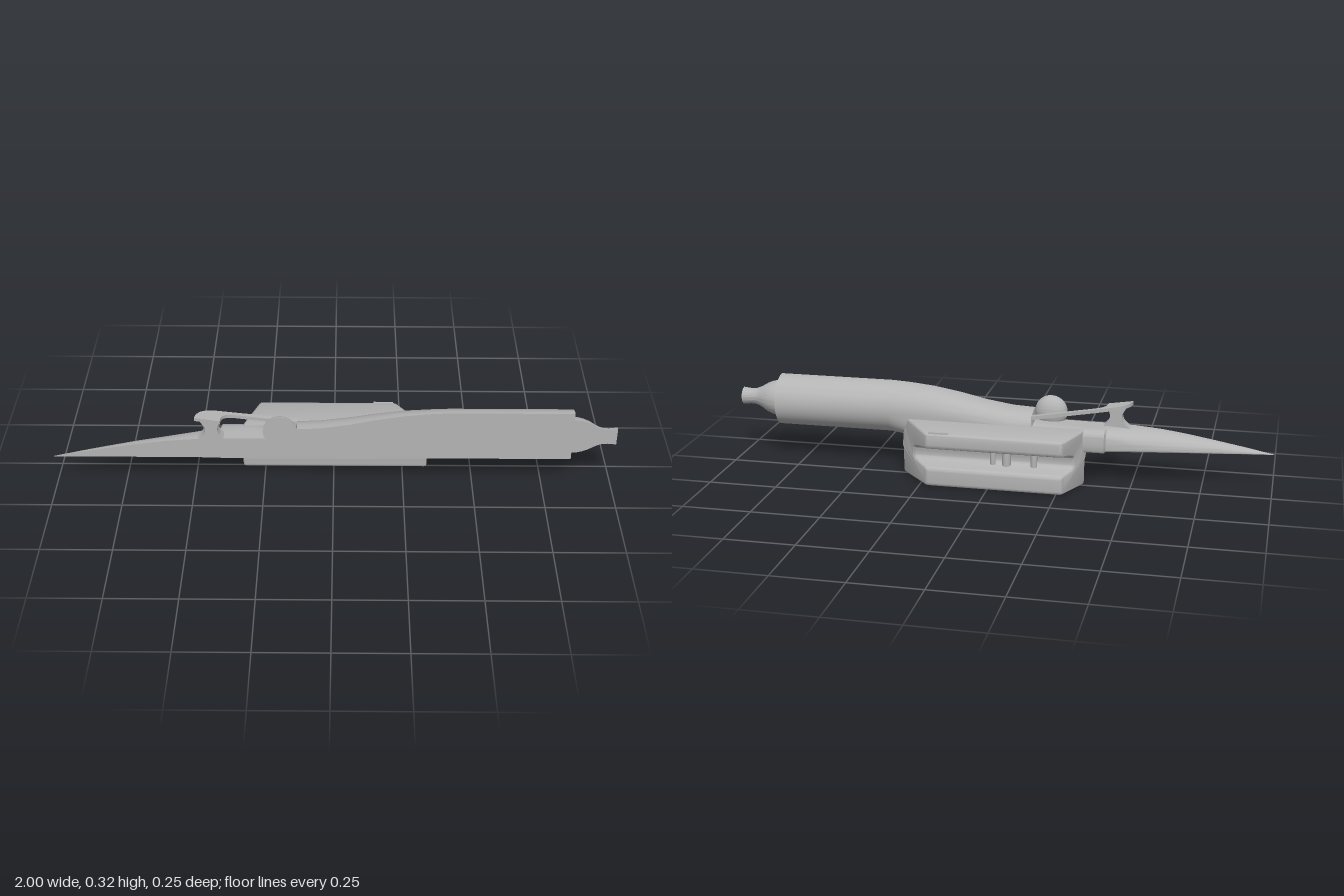
import * as THREE from 'three';
import { toCreasedNormals } from 'three/addons/utils/BufferGeometryUtils.js';

const CUT = 0.125; // plane of the flat sectioned side
const hull = new THREE.MeshStandardMaterial({ color: 0xb4b4b4 });
hull.name = 'hull grey';

// Half-section loft along x. Station: [x, top, mid, bottom, width, topExponent, bottomExponent]
function loft(stations, steps = 28) {
  const pos = [], idx = [], n = steps + 1;
  for (const [x, top, mid, bot, w, te = 2, be = 2] of stations) {
    for (let j = 0; j < n; j++) {
      const t = (j / steps) * Math.PI;
      const e = 2 / (j <= steps / 2 ? te : be);
      const c = Math.abs(Math.cos(t)) ** e, s = Math.abs(Math.sin(t)) ** e;
      pos.push(x, j <= steps / 2 ? mid + (top - mid) * c : mid - (mid - bot) * c, CUT - w * s);
    }
  }
  const last = (stations.length - 1) * n;
  for (let i = 0; i < last; i += n) {
    for (let j = 0; j < n; j++) {
      const k = (j + 1) % n, a = i + j, b = i + k;
      idx.push(a, a + n, b + n, a, b + n, b);
    }
  }
  for (let j = 1; j < n - 1; j++) idx.push(0, j, j + 1, last, last + j + 1, last + j);
  const g = new THREE.BufferGeometry();
  g.setAttribute('position', new THREE.Float32BufferAttribute(pos, 3));
  g.setIndex(idx);
  return toCreasedNormals(g, 0.6);
}

// Closed polygon with rounded corners
function roundedShape(pts, r) {
  const v = pts.map(p => new THREE.Vector2(...p)), s = new THREE.Shape();
  v.forEach((p, i) => {
    const prev = v[(i + v.length - 1) % v.length], next = v[(i + 1) % v.length];
    const toward = q => p.clone().lerp(q, Math.min(r / p.distanceTo(q), 0.45));
    const a = toward(prev), b = toward(next);
    if (i === 0) s.moveTo(a.x, a.y); else s.lineTo(a.x, a.y);
    s.quadraticCurveTo(p.x, p.y, b.x, b.y);
  });
  s.closePath();
  return s;
}

function moveVertices(g, rule) {
  const p = g.attributes.position, v = new THREE.Vector3();
  for (let i = 0; i < p.count; i++) {
    rule(v.fromBufferAttribute(p, i));
    p.setXYZ(i, v.x, v.y, v.z);
  }
  return toCreasedNormals(g, 0.6);
}

export function createModel() {
  const model = new THREE.Group();
  const add = (name, geometry) => {
    const m = new THREE.Mesh(geometry, hull);
    m.name = name;
    model.add(m);
    return m;
  };

  // Long needle nose, flat cockpit deck, then a swelling engine barrel
  add('fuselage', loft([
    [-1, 0.123, 0.1225, 0.122, 0.002],
    [-0.9, 0.143, 0.126, 0.122, 0.021, 2, 3],
    [-0.8, 0.161, 0.129, 0.122, 0.04, 2, 4],
    [-0.7, 0.178, 0.132, 0.122, 0.058, 2, 4],
    [-0.6, 0.192, 0.135, 0.122, 0.075, 2, 5],
    [-0.5, 0.2, 0.14, 0.122, 0.092, 2.3, 6],
    [-0.405, 0.203, 0.145, 0.12, 0.104, 3.5, 8],
    [-0.4, 0.203, 0.15, 0.118, 0.115, 5, 10],
    [-0.33, 0.203, 0.15, 0.118, 0.115, 5, 10],
    [-0.25, 0.204, 0.15, 0.118, 0.108, 5, 10],
    [-0.135, 0.206, 0.16, 0.118, 0.102, 4, 10],
    [-0.13, 0.245, 0.165, 0.118, 0.102, 2.6, 10],
    [-0.05, 0.249, 0.175, 0.118, 0.101, 2.5, 10],
    [0.05, 0.264, 0.19, 0.118, 0.1, 2.4, 10],
    [0.15, 0.286, 0.202, 0.119, 0.1, 2.2, 9],
    [0.25, 0.303, 0.212, 0.12, 0.1, 2.1, 7],
    [0.34, 0.312, 0.217, 0.121, 0.099, 2, 3.2],
    [0.41, 0.316, 0.219, 0.122, 0.097],
    [0.845, 0.316, 0.219, 0.122, 0.097],
  ]));

  // Bell-shaped exhaust with a hollow tip
  add('exhaustNozzle', loft([
    [0.84, 0.07], [0.86, 0.069], [0.88, 0.064], [0.9, 0.056], [0.92, 0.044], [0.935, 0.036],
    [0.95, 0.031], [0.97, 0.03], [1, 0.033], [1, 0.022], [0.985, 0.02],
  ].map(([x, r]) => [x, 0.22 + r, 0.22, 0.22 - r, r])));

  // Side pod: C-shaped section with a groove, swept to a trapezoid in plan
  const section = roundedShape([
    [-0.013, 0], [0.125, 0], [0.125, 0.068], [0.092, 0.073], [0.05, 0.082], [0.05, 0.124],
    [0.09, 0.133], [0.125, 0.142], [0.125, 0.197], [-0.06, 0.2], [-0.06, 0.12], [-0.015, 0.1],
  ], 0.013);
  const pod = new THREE.ExtrudeGeometry(section, {
    depth: 0.001, bevelThickness: 0.01, bevelSize: 0.007, bevelOffset: -0.007, bevelSegments: 3, curveSegments: 4,
  });
  pod.rotateY(Math.PI / 2);
  add('sidePod', moveVertices(pod, v => {
    const t = THREE.MathUtils.clamp((0.015 - v.z) / 0.14, 0, 1);
    v.x += v.x < 0.0005 ? -0.325 + 0.065 * t : 0.335 - 0.125 * t;
  }));

  // Small fittings inside the groove
  for (const [x, r] of [[-0.16, 0.012], [-0.06, 0.016], [-0.01, 0.01]]) {
    const strut = add('grooveStrut', new THREE.CylinderGeometry(r, r, 0.08, 14));
    strut.position.set(x, 0.103, -0.06);
  }

  // Thin hatch on the pod top
  add('podHatch', new THREE.BoxGeometry(0.07, 0.006, 0.012)).position.set(0.18, 0.199, -0.112);

  // Sloping windscreen rim, U-shaped in plan
  const rim = new THREE.Shape();
  rim.moveTo(-0.49, CUT);
  rim.bezierCurveTo(-0.485, 0.08, -0.46, 0.063, -0.4, 0.06);
  rim.lineTo(-0.13, 0.042);
  rim.lineTo(-0.13, 0.063);
  rim.lineTo(-0.35, 0.073);
  rim.bezierCurveTo(-0.39, 0.076, -0.4, 0.09, -0.4, CUT);
  rim.closePath();
  const rimGeometry = new THREE.ExtrudeGeometry(rim, { depth: 0.013, bevelEnabled: false, curveSegments: 14 });
  rimGeometry.rotateX(Math.PI / 2);
  add('windscreenRim', moveVertices(rimGeometry, v => { v.y += 0.291 - 0.16 * (v.x + 0.49); }));

  // Waisted post holding the rim
  const post = new THREE.Shape();
  post.moveTo(-0.5, 0.19);
  post.quadraticCurveTo(-0.445, 0.215, -0.455, 0.25);
  post.lineTo(-0.475, 0.283);
  post.lineTo(-0.4, 0.27);
  post.quadraticCurveTo(-0.425, 0.235, -0.39, 0.205);
  post.lineTo(-0.39, 0.19);
  post.closePath();
  const postGeometry = new THREE.ExtrudeGeometry(post, { depth: 0.04, bevelEnabled: false, curveSegments: 10 });
  postGeometry.translate(0, 0, CUT - 0.04);
  add('windscreenPost', toCreasedNormals(postGeometry, 0.6));

  // Rounded headrest dome behind the cockpit
  const dome = [];
  for (let i = 0; i <= 20; i++) {
    const a = (i / 20) * Math.PI, r = 0.06 * Math.sin(a) + 0.0005;
    dome.push([-0.19 - 0.06 * Math.cos(a), 0.234 + r, 0.234, 0.234 - r, r * 0.68]);
  }
  add('headrestDome', loft(dome));

  return model;
}
